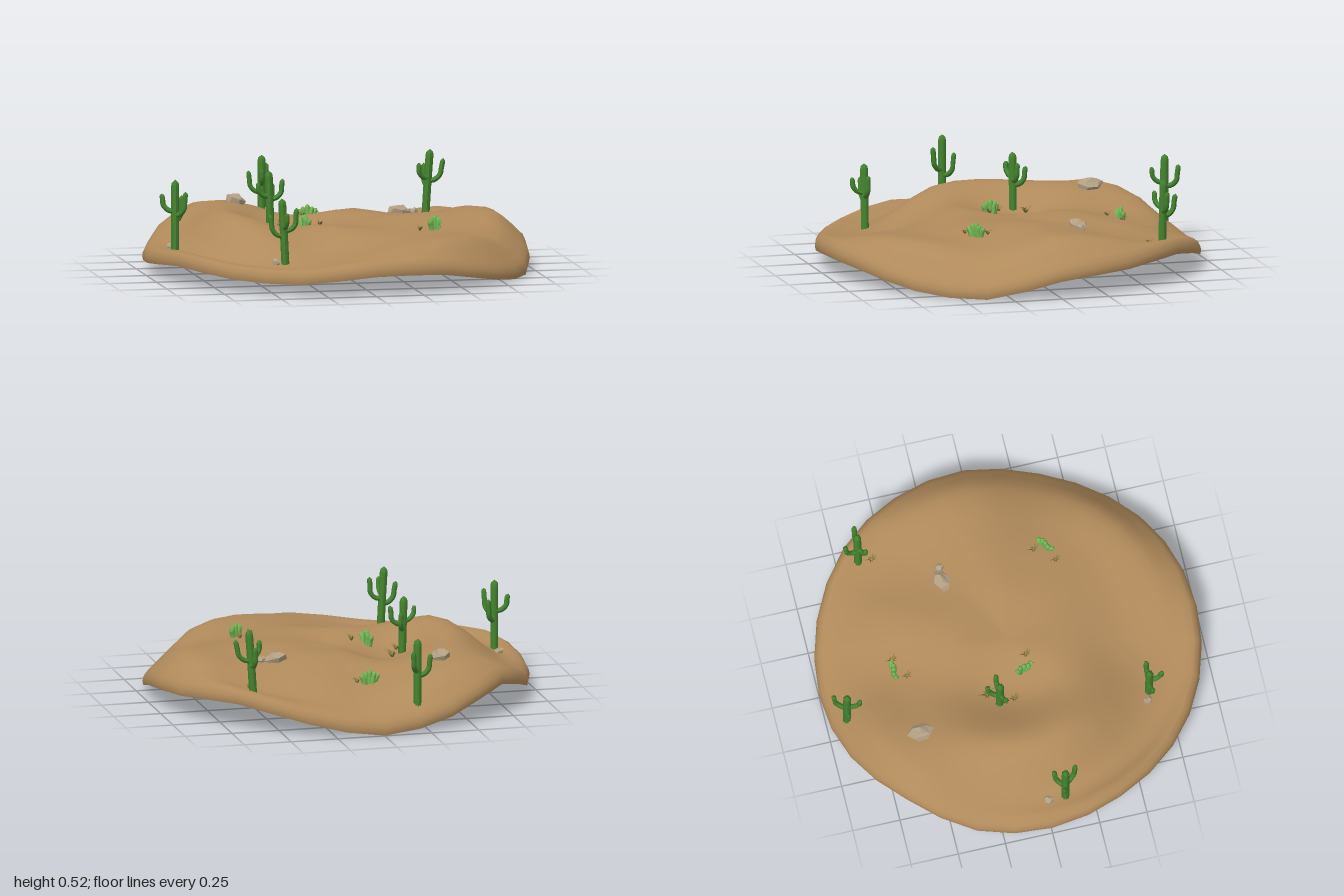
import * as THREE from 'three';
import { mergeVertices, mergeGeometries } from 'three/addons/utils/BufferGeometryUtils.js';

const { sin, cos, PI } = Math;
const V = (x, y, z) => new THREE.Vector3(x, y, z);
const mat = (color, extra = {}) => new THREE.MeshStandardMaterial({ color, ...extra });
const sandMat = mat(0xb08a5b, { side: THREE.DoubleSide });
const cactusMat = mat(0x44842f, { side: THREE.DoubleSide });
const clumpMat = mat(0x74b856, { side: THREE.DoubleSide });
const rockMat = mat(0xb3a084, { flatShading: true });
const grassMat = mat(0x86783c, { side: THREE.DoubleSide });

// Dune heights at 16 compass points (from +z towards +x) for a few radii
const RADII = [0, 0.3, 0.6, 0.85, 0.97];
const RING3 = [.26, .255, .255, .265, .275, .26, .265, .27, .26, .23, .205, .2, .21, .24, .265, .265];
const RING6 = [.2, .235, .235, .24, .28, .255, .215, .235, .185, .235, .295, .31, .32, .31, .235, .165];
const RING8 = [.19, .235, .23, .175, .27, .265, .18, .17, .125, .24, .29, .19, .15, .14, .115, .125];
const RIM = [.1, .09, .025, .002, .09, .12, .14, .065, .0, .06, .16, .06, .065, .1, .07, .06];
const EDGE = 0.082;

// Smooth periodic lookup around a ring
function around(table, theta) {
  const t = ((theta / (2 * PI)) * 16 + 32) % 16, i = Math.floor(t), u = t - i;
  const [a, b, c, d] = [-1, 0, 1, 2].map(k => table[(i + k + 16) % 16]);
  return b + 0.5 * u * (c - a + u * (2 * a - 5 * b + 4 * c - d + u * (3 * (b - c) + d - a)));
}

// Height of the sand at radius r (up to 0.97) and angle theta
function heightAt(r, theta) {
  const h = [0.24, around(RING3, theta), around(RING6, theta), around(RING8, theta), around(RIM, theta) + EDGE];
  let i = 0;
  while (i < 3 && r > RADII[i + 1]) i++;
  const slope = k => k === 0 ? 0 : k === 4 ? (h[4] - h[3]) / 0.12
    : (h[k + 1] - h[k - 1]) / (RADII[k + 1] - RADII[k - 1]);
  const w = RADII[i + 1] - RADII[i], u = Math.min(1, (r - RADII[i]) / w), v = 1 - u;
  return h[i] * v * v * (1 + 2 * u) + h[i + 1] * u * u * (3 - 2 * u) + w * u * v * (slope(i) * v - slope(i + 1) * u);
}
const ground = (x, z) => heightAt(Math.hypot(x, z), Math.atan2(x, z));

// Open sand shell with a rounded, turned-down rim
function sand() {
  const SEG = 32, rings = [];
  for (let i = 0; i <= 24; i++) rings.push([i / 24 * 0.96, null]);
  rings.push([0.985, 0.066], [0.997, 0.04], [1, 0.018], [0.995, 0]);
  const pos = [], idx = [];
  rings.forEach(([r, lift], i) => {
    for (let j = 0; j < SEG; j++) {
      const t = j / SEG * 2 * PI;
      const y = lift === null ? heightAt(r, t) : Math.max(0, around(RIM, t)) + lift;
      pos.push(r * sin(t), y, r * cos(t));
      if (i === 0) continue;
      const a = (i - 1) * SEG + j, b = i * SEG + j, c = i * SEG + (j + 1) % SEG, d = (i - 1) * SEG + (j + 1) % SEG;
      idx.push(a, b, c);
      if (i > 1) idx.push(a, c, d);
    }
  });
  let g = new THREE.BufferGeometry();
  g.setAttribute('position', new THREE.Float32BufferAttribute(pos, 3));
  g.setIndex(idx);
  g = mergeVertices(g, 1e-5);
  g.computeVertexNormals();
  return g;
}

// Ribbed stem along a curve, with a domed tip
function ribbedStem(points, radius, rows = 16, ribs = 8) {
  const curve = new THREE.CatmullRomCurve3(points), m = ribs * 2;
  const g = new THREE.TubeGeometry(curve, rows, radius, m);
  const p = g.attributes.position, dome = Math.min(0.5, radius * 1.6 / curve.getLength());
  const v = V(0, 0, 0);
  for (let i = 0; i <= rows; i++) {
    const c = curve.getPointAt(i / rows);
    const k = Math.max(0, (i / rows - 1 + dome) / dome);
    const f = Math.sqrt(Math.max(0, 1 - k * k));
    for (let j = 0; j <= m; j++) {
      const n = i * (m + 1) + j;
      v.fromBufferAttribute(p, n).sub(c).multiplyScalar(f * (j % 2 ? 0.78 : 1.05)).add(c);
      p.setXYZ(n, v.x, v.y, v.z);
    }
  }
  g.computeVertexNormals();
  return g;
}

// Tall cactus: a trunk and upturned arms; each arm is [direction, reach, start, tip]
function cactus(height, arms, lean) {
  const parts = [ribbedStem([V(0, -0.03, 0), V(lean * 0.5, height * 0.5, 0), V(lean, height, 0)], 0.02, 24)];
  for (const [a, reach, start, tip] of arms) {
    const at = (r, y) => V(lean * y / height + sin(a) * r, y, cos(a) * r);
    parts.push(ribbedStem([at(0, start), at(reach * 0.55, start + 0.008), at(reach * 0.93, start + 0.035),
      at(reach, start + 0.07), at(reach * 1.1, tip)], 0.013, 16, 6));
  }
  return mergeGeometries(parts);
}

// Low clump: a row of short stems fanning outwards
function clump(yaw) {
  const parts = [];
  [-2, -1, 0, 1, 2].forEach(k => {
    const h = 0.075 - Math.abs(k) * 0.012, s = k * 0.017, side = (k % 2) * 0.006;
    parts.push(ribbedStem([V(s * 0.7, -0.02, side), V(s, h * 0.5, side), V(s * 1.5, h, side)], 0.0135, 10, 6));
  });
  return mergeGeometries(parts).rotateY(yaw);
}

// Dry tuft: thin blades bending outwards
function tuft(size) {
  const pos = [];
  for (let k = 0; k < 9; k++) {
    const a = k * 2.4, r = size * (0.75 + 0.25 * sin(k * 5)), w = size * 0.08;
    const at = (q, y, s) => [sin(a) * q + cos(a) * s, y, cos(a) * q - sin(a) * s];
    const A = at(0, -0.005, -w), B = at(0, -0.005, w), C = at(r * 0.5, r * 0.6, w), D = at(r * 0.5, r * 0.6, -w), E = at(r, r * 0.75, 0);
    pos.push(...A, ...C, ...B, ...A, ...D, ...C, ...D, ...E, ...C);
  }
  const g = new THREE.BufferGeometry();
  g.setAttribute('position', new THREE.Float32BufferAttribute(pos, 3));
  g.computeVertexNormals();
  return g;
}

// Angular boulder with uneven corners
function rock(sx, sy, sz, yaw) {
  const g = new THREE.DodecahedronGeometry(1, 0), p = g.attributes.position;
  for (let i = 0; i < p.count; i++) {
    const [x, y, z] = [p.getX(i), p.getY(i), p.getZ(i)];
    const f = 1 + 0.12 * sin(3 * x + 5 * y + yaw) - 0.1 * z * y;
    p.setXYZ(i, x * f * sx, y * f * sy, z * f * sz);
  }
  g.rotateY(yaw);
  g.computeVertexNormals();
  return g;
}

export function createModel() {
  const model = new THREE.Group();
  const add = (name, geometry, material, x = 0, y = 0, z = 0) => {
    const m = new THREE.Mesh(geometry, material);
    m.name = name;
    m.position.set(x, y, z);
    model.add(m);
  };
  const place = (name, geometry, material, x, z, lift = 0) => add(name, geometry, material, x, ground(x, z) + lift, z);

  add('sand', sand(), sandMat);

  // Tall cacti: x, z, top height, lean, arm directions
  [
    [-0.20, -0.90, 0.48, 0.0, [2.6, 4.6, 6.1]],
    [0.61, -0.65, 0.52, 0.025, [1.57, 3.3, 5.2]],
    [-0.32, -0.12, 0.51, -0.01, [1.65, 2.7, 5.0]],
    [-0.405, 0.65, 0.475, -0.02, [1.57, 4.75, 0.1]],
    [-0.87, 0.10, 0.51, 0.0, [0.6, 2.4, 4.4]],
  ].forEach(([x, z, top, lean, dirs]) => {
    const h = top - ground(x, z);
    const arms = dirs.map((a, i) => [a, [0.068, 0.063, 0.066][i], h * [0.5, 0.42, 0.55][i], h * [0.85, 0.76, 0.8][i]]);
    place('cactus', cactus(h, arms, lean), cactusMat, x, z);
  });

  // Low cactus clumps: x, z, yaw
  [[-0.02, -0.61, 0.1], [-0.175, 0.045, -1.2], [0.455, 0.305, 0.75]]
    .forEach(([x, z, yaw]) => place('cactusClump', clump(yaw), clumpMat, x, z));

  // Dry tufts: x, z, size
  [[-0.06, -0.55, 0.036], [0.045, -0.605, 0.04], [0.61, -0.58, 0.038], [-0.255, -0.17, 0.055], [-0.31, -0.04, 0.04],
    [-0.1, 0.07, 0.04], [0.45, 0.24, 0.038], [0.37, 0.34, 0.036]]
    .forEach(([x, z, s]) => place('dryTuft', tuft(s), grassMat, x, z));

  // Rocks: x, z, half sizes, yaw
  [[-0.41, -0.56, 0.05, 0.045, 0.07, 0.1], [0.39, -0.26, 0.068, 0.042, 0.042, 0.2], [0.465, -0.255, 0.026, 0.024, 0.024, 1],
    [-0.87, 0.01, 0.03, 0.024, 0.024, 0.7], [-0.45, 0.635, 0.026, 0.022, 0.022, 2]]
    .forEach(([x, z, sx, sy, sz, yaw]) => place('rock', rock(sx, sy, sz, yaw), rockMat, x, z, 0.006));

  return model;
}
